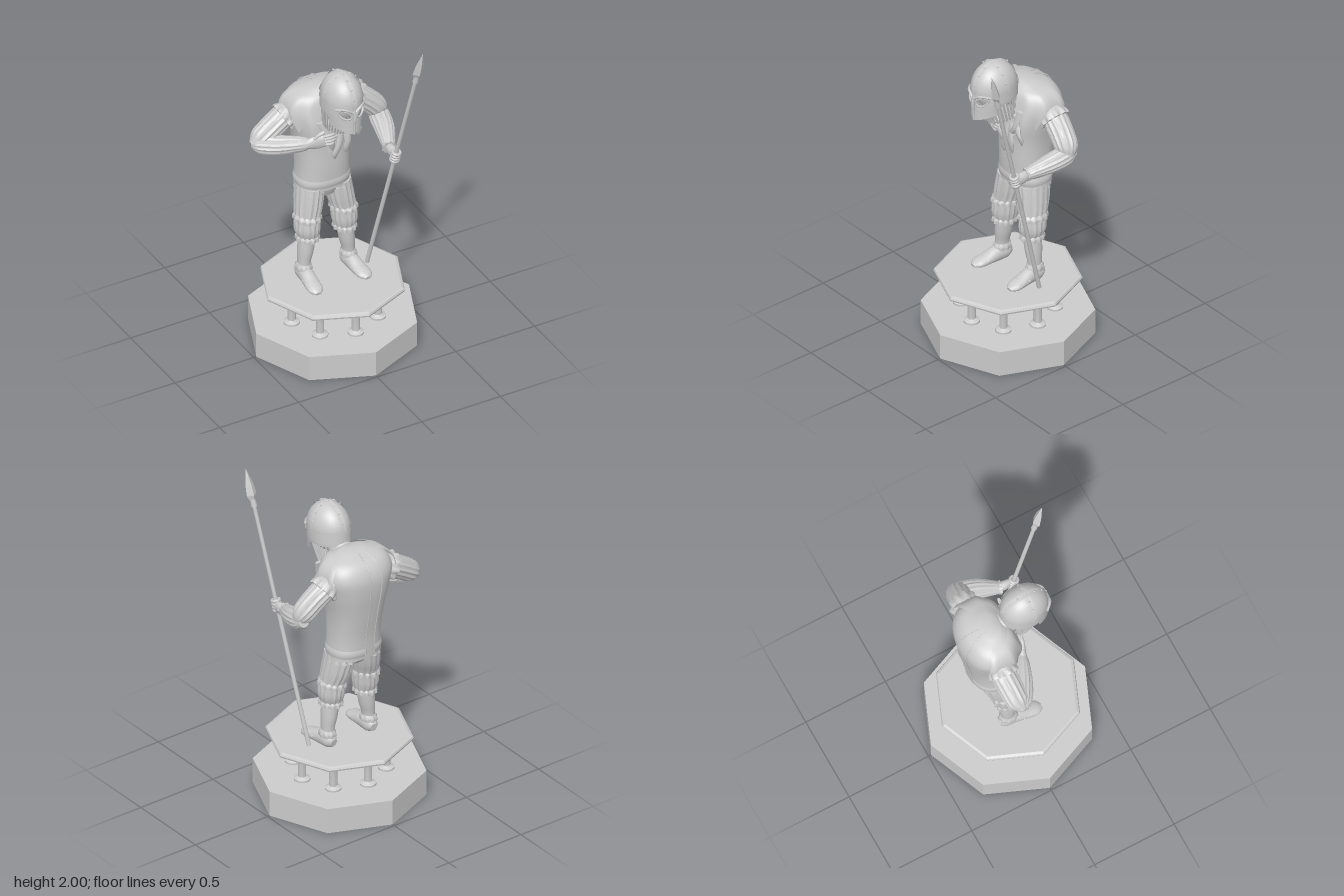
import * as THREE from 'three';
import { toCreasedNormals, mergeGeometries } from 'three/addons/utils/BufferGeometryUtils.js';

const V = (x, y, z) => new THREE.Vector3(x, y, z);
const material = new THREE.MeshStandardMaterial({ color: 0xcccccc });
const thin = new THREE.MeshStandardMaterial({ color: 0xcccccc, side: THREE.DoubleSide });

function add(parent, name, geometry, mat = material) {
  const mesh = new THREE.Mesh(geometry, mat);
  mesh.name = name;
  parent.add(mesh);
  return mesh;
}

// Grid surface from a function of (u, v); keep() may cut holes
function sheet(fn, nu, nv, keep = () => true) {
  const pos = [], index = [];
  for (let j = 0; j <= nv; j++) for (let i = 0; i <= nu; i++) pos.push(...fn(i / nu, j / nv).toArray());
  for (let j = 0; j < nv; j++) for (let i = 0; i < nu; i++) {
    if (!keep((i + 0.5) / nu, (j + 0.5) / nv)) continue;
    const a = j * (nu + 1) + i, c = a + nu + 1;
    index.push(a, a + 1, c, a + 1, c + 1, c);
  }
  const g = new THREE.BufferGeometry();
  g.setAttribute('position', new THREE.Float32BufferAttribute(pos, 3));
  g.setIndex(index);
  return toCreasedNormals(g, 0.75);
}

// Sections are [x, y, z, radiusA, radiusB, pleatDepth], smoothly interpolated
function sampler(rows) {
  const path = new THREE.CatmullRomCurve3(rows.map(r => V(r[0], r[1], r[2])), false, 'catmullrom', 0.5);
  const size = new THREE.CatmullRomCurve3(rows.map(r => V(r[3], r[4], r[5] || 0)), false, 'catmullrom', 0.5);
  return { path, size };
}

// Closed loft; level sections stay horizontal, others follow the path
function loft(rows, { level = false, ribs = 0, seg = 32, steps = 20, power = 1 } = {}) {
  const { path, size } = sampler(rows);
  const up = Math.sign(rows[rows.length - 1][1] - rows[0][1]) || 1;
  const n = steps + 2;
  return sheet((u, v) => {
    const k = Math.round(v * n), t = Math.min(Math.max((k - 1) / steps, 0), 1);
    const p = path.getPoint(t);
    if (k === 0 || k === n) return p;
    const s = size.getPoint(t), dir = level ? V(0, up, 0) : path.getTangent(t);
    const U = level ? V(1, 0, 0) : V(0, 1, 0).cross(dir).normalize();
    const W = dir.clone().cross(U), th = (u === 1 ? 0 : u) * Math.PI * 2;
    const bend = x => Math.sign(x) * Math.abs(x) ** power;
    const f = 1 + s.z * Math.cos(ribs * th);
    return p.addScaledVector(U, bend(Math.cos(th)) * s.x * f).addScaledVector(W, bend(Math.sin(th)) * s.y * f);
  }, seg, n);
}

const along = (pts, r, closed = false, n = 16) =>
  new THREE.TubeGeometry(new THREE.CatmullRomCurve3(pts, closed), n, r, 6, closed);

// Rod between two points
const rod = (a, b, r) => along([a, b], r, false, 1);

function pedestal(root) {
  const base = add(root, 'base', toCreasedNormals(new THREE.CylinderGeometry(0.485, 0.485, 0.155, 8), 0.3));
  base.position.y = 0.0775;
  const edge = [[0, 0.343], [0.395, 0.343], [0.412, 0.35], [0.415, 0.36], [0.41, 0.37], [0.395, 0.376], [0, 0.376]];
  add(root, 'platform', toCreasedNormals(new THREE.LatheGeometry(edge.map(p => new THREE.Vector2(...p)), 8), 0.3));
  const profile = [[0.046, 0.155], [0.046, 0.166], [0.032, 0.172], [0.023, 0.178], [0.023, 0.29], [0.027, 0.315], [0.036, 0.345]];
  for (let i = 0; i < 8; i++) {
    const c = add(root, 'column', toCreasedNormals(new THREE.LatheGeometry(profile.map(p => new THREE.Vector2(...p)), 16), 0.6));
    c.position.set(0.26 * Math.sin(i * Math.PI / 4), 0, 0.26 * Math.cos(i * Math.PI / 4));
  }
}

const torsoRows = [
  [0, 0.96, -0.125, 0.16, 0.122], [0, 1.1, -0.125, 0.153, 0.13], [0, 1.25, -0.135, 0.163, 0.143],
  [0, 1.4, -0.142, 0.195, 0.158], [0, 1.5, -0.15, 0.21, 0.148], [0, 1.575, -0.14, 0.17, 0.115], [0, 1.613, -0.115, 0.07, 0.05]];

// Point on the tunic surface, lifted by off
const torso = sampler(torsoRows);
function onTorso(th, t, off) {
  const p = torso.path.getPoint(t), s = torso.size.getPoint(t);
  const bend = x => Math.sign(x) * Math.abs(x) ** 0.85;
  return p.add(V(bend(Math.cos(th)) * (s.x + off), 0, -bend(Math.sin(th)) * (s.y + off)));
}

function body(root) {
  add(root, 'tunic', loft(torsoRows, { level: true, power: 0.85, seg: 48, steps: 30 }));
  add(root, 'tunicHem', sheet((u, v) => onTorso(u * Math.PI * 2, 0.02 + v * 0.06, 0.005 * Math.sin(v * Math.PI)), 48, 4), thin);
  // Raised band and stitched seams down the back
  add(root, 'backBand', sheet((u, v) => onTorso(Math.PI / 2 + 0.1 + (u - 0.5) * 0.3, 0.02 + v * 0.97, 0.006), 4, 30), thin);
  for (const a of [-0.05, 0.25]) {
    const pts = [...Array(14).keys()].map(i => onTorso(Math.PI / 2 + a, 0.02 + i * 0.074, 0.006));
    add(root, 'backSeam', along(pts, 0.004, false, 40));
  }
  // Ragged hide over chest and shoulders
  const saw = x => Math.abs(((x % 1) + 1) % 1 - 0.5) * 2;
  add(root, 'hide', sheet((u, v) => {
    const c = Math.abs(u - 0.5) * 2;
    const low = 0.36 + 0.26 * Math.min(1, c * 1.4) - 0.085 * saw(u * 13);
    const t = THREE.MathUtils.lerp(0.93, low, v);
    return onTorso(-Math.PI / 2 + (u - 0.5) * Math.PI * 1.25, t, 0.012 + 0.01 * v + 0.006 * Math.sin(u * 40) * v);
  }, 104, 14), thin);
  for (const [x, y, ex, ey] of [[0.03, 1.42, 0.0, 1.18], [0.06, 1.4, 0.07, 1.2], [0.1, 1.46, 0.15, 1.29], [0.13, 1.5, 0.07, 1.3], [-0.09, 1.45, -0.02, 1.24]])
    add(root, 'hideTail', loft([[x, y, 0.02, 0.024, 0.012], [(x + ex) / 2 + 0.01, (y + ey) / 2, 0.04, 0.02, 0.01],
      [ex, ey + 0.04, 0.032, 0.02, 0.01], [ex, ey, 0.025, 0.003, 0.003]], { level: true, seg: 8, steps: 10 }));
  add(root, 'neck', loft([[0, 1.5, -0.09, 0.08, 0.08], [0, 1.56, 0.0, 0.065, 0.065], [0, 1.62, 0.07, 0.065, 0.065]]));
  add(root, 'pelvis', loft([[0, 0.9, -0.11, 0.08, 0.07], [0, 0.95, -0.12, 0.14, 0.1], [0, 1.0, -0.125, 0.145, 0.11]], { level: true }));
}

function helmet(root) {
  const h = new THREE.Group();
  h.name = 'helmet';
  h.position.set(0, 1.655, 0.1);
  h.rotation.x = 0.08;
  root.add(h);
  const dome = add(h, 'dome', new THREE.SphereGeometry(1, 40, 16, 0, Math.PI * 2, 0, Math.PI / 2), thin);
  dome.scale.set(0.113, 0.145, 0.14);
  const head = add(h, 'head', new THREE.SphereGeometry(1, 24, 16));
  head.scale.set(0.094, 0.13, 0.118);
  head.position.y = -0.02;
  // Face plate with eye openings, shorter guard at the sides and back
  const lower = a => Math.abs(a) < 1.25 ? -0.165 + 0.03 * Math.abs(a) : -0.075;
  const shell = (a, y, off = 0) => V(Math.sin(a) * (0.113 + 0.09 * Math.min(0, y + 0.06) + off), y,
    Math.cos(a) * (0.14 + off - (Math.cos(a) > 0 ? 0.1 * y : 0)));
  const eye = (a, y) => Math.hypot((Math.abs(a) - 0.44) / 0.28, (y + 0.036 - 0.035 * (Math.abs(a) - 0.44)) / 0.022);
  const at = (u, v) => { const a = (0.5 - u) * Math.PI * 2; return [a, THREE.MathUtils.lerp(0, lower(a), v)]; };
  add(h, 'facePlate', sheet((u, v) => shell(...at(u, v)), 128, 40, (u, v) => eye(...at(u, v)) > 1), thin);
  add(h, 'browBand', sheet((u, v) => shell(u * Math.PI * 2, 0.014 - 0.026 * v, 0.005), 48, 2), thin);
  for (const s of [-1, 1]) {
    const rim = [...Array(16).keys()].map(i => {
      const q = i * Math.PI / 8, a = 0.44 + 0.3 * Math.cos(q);
      return shell(s * a, -0.036 + 0.035 * (a - 0.44) + 0.025 * Math.sin(q), 0.003);
    });
    add(h, 'eyeRim', along(rim, 0.006, true, 48));
    add(h, 'brow', along([shell(s * 0.05, -0.02, 0.008), shell(s * 0.4, 0.004, 0.01), shell(s * 0.85, -0.005, 0.008)], 0.008));
  }
  add(h, 'noseRidge', along([shell(0, 0, 0.004), shell(0, -0.06, 0.012), shell(0, -0.1, 0.006), shell(0, -0.162, 0.001)], 0.009));
  // Crossed bands and rivets on the dome
  for (const side of [false, true]) {
    add(h, side ? 'crossBand' : 'crestBand', sheet((u, v) => {
      const w = (v - 0.5) * 0.032, q = u * Math.PI, y = 0.15 * Math.sin(q);
      return side ? V(0.118 * Math.cos(q), y, w) : V(w, y, 0.145 * Math.cos(q));
    }, 32, 2), thin);
    for (let i = 1; i < 8; i++) {
      const q = i * Math.PI / 8, r = add(h, 'rivet', new THREE.SphereGeometry(0.006, 8, 6));
      r.position.set(side ? 0.118 * Math.cos(q) : 0, 0.15 * Math.sin(q), side ? 0 : 0.145 * Math.cos(q));
    }
  }
  // Hanging neck strips
  const strips = [];
  for (let i = 0; i < 32; i++) {
    const s = Math.sin(i * Math.PI / 16), c = Math.cos(i * Math.PI / 16);
    strips.push(rod(V(s * 0.1, -0.06, c * 0.125), V(s * 0.075, -0.225, c * 0.095 - 0.035), 0.0055));
  }
  add(h, 'neckStrips', mergeGeometries(strips));
}

function leg(root, s) {
  const part = (name, rows, o) => add(root, name, loft(rows.map(([x, ...r]) => [x * s, ...r]), { level: true, seg: 64, ...o }));
  part('breeches', [[0.115, 0.64, -0.075, 0.055, 0.06, 0.04], [0.118, 0.7, -0.078, 0.07, 0.078, 0.04], [0.112, 0.78, -0.085, 0.07, 0.08, 0.04],
    [0.098, 0.86, -0.1, 0.076, 0.095, 0.04], [0.082, 0.97, -0.115, 0.078, 0.105, 0.03]], { ribs: 16 });
  for (const [x, y, z, a, b] of [[0.115, 0.77, -0.083, 0.068, 0.078], [0.118, 0.64, -0.075, 0.058, 0.065]])
    part('ruffle', [[x, y - 0.01, z, a * 1.12, b * 1.12, 0.08], [x, y + 0.012, z, a * 1.1, b * 1.1, 0.05], [x, y + 0.03, z, a * 0.9, b * 0.9, 0]], { ribs: 12, steps: 6 });
  part('hem', [[0.083, 0.935, -0.115, 0.08, 0.105, 0.05], [0.083, 0.965, -0.115, 0.075, 0.1, 0]], { ribs: 12, steps: 3 });
  part('shin', [[0.142, 0.4, -0.075, 0.036, 0.043], [0.14, 0.48, -0.075, 0.036, 0.043], [0.13, 0.56, -0.075, 0.045, 0.052], [0.118, 0.66, -0.075, 0.048, 0.056]], { seg: 24 });
  part('ankleCuff', [[0.142, 0.435, -0.075, 0.045, 0.054, 0.06], [0.142, 0.455, -0.075, 0.046, 0.054, 0.05], [0.142, 0.475, -0.075, 0.038, 0.045, 0]], { ribs: 9, steps: 6 });
  // Shoe with flat sole
  const shoe = part('shoe', [[0.138, 0.405, -0.13, 0.022, 0.025], [0.141, 0.41, -0.1, 0.04, 0.045], [0.144, 0.41, -0.04, 0.042, 0.048],
    [0.15, 0.398, 0.03, 0.045, 0.034], [0.156, 0.39, 0.09, 0.043, 0.022], [0.158, 0.384, 0.122, 0.018, 0.01]], { level: false, seg: 24 });
  const p = shoe.geometry.attributes.position;
  for (let i = 0; i < p.count; i++) p.setY(i, Math.max(0.376, p.getY(i)));
  for (const z of [0.0, 0.045])
    add(root, 'shoeStrap', along([V(s * 0.108, 0.405, z), V(s * 0.15, 0.437 - z * 0.35, z + 0.01), V(s * 0.194, 0.405, z)], 0.005));
}

function arms(root) {
  const sleeve = (name, rows, o) => add(root, name, loft(rows, { ribs: 14, seg: 70, ...o }));
  // Right arm folded across the chest
  sleeve('rightUpperSleeve', [[-0.14, 1.47, -0.15, 0.07, 0.07, 0], [-0.23, 1.435, -0.155, 0.07, 0.066, 0.04], [-0.32, 1.38, -0.15, 0.068, 0.064, 0.05],
    [-0.385, 1.338, -0.145, 0.06, 0.058, 0.05], [-0.43, 1.315, -0.14, 0.025, 0.03, 0]]);
  sleeve('rightForearmSleeve', [[-0.425, 1.32, -0.155, 0.025, 0.03, 0], [-0.39, 1.32, -0.125, 0.053, 0.05, 0.05], [-0.3, 1.318, -0.07, 0.054, 0.052, 0.05],
    [-0.2, 1.32, -0.02, 0.042, 0.044, 0.04], [-0.16, 1.322, 0.0, 0.033, 0.035, 0.02]]);
  sleeve('rightShoulderRuffle', [[-0.19, 1.455, -0.15, 0.07, 0.07, 0], [-0.215, 1.44, -0.152, 0.082, 0.08, 0.05], [-0.235, 1.43, -0.153, 0.085, 0.082, 0.08]], { ribs: 10, steps: 6 });
  add(root, 'rightHand', loft([[-0.17, 1.322, 0.0, 0.026, 0.028], [-0.12, 1.33, 0.025, 0.018, 0.04], [-0.075, 1.338, 0.045, 0.014, 0.038]], { steps: 10 }));
  for (let i = 0; i < 4; i++)
    add(root, 'rightFinger', along([V(-0.085, 1.315 + i * 0.017, 0.042), V(-0.04, 1.315 + i * 0.02, 0.058), V(-0.005 - Math.abs(i - 2) * 0.01, 1.32 + i * 0.018, 0.055)], 0.0095));
  add(root, 'rightThumb', along([V(-0.14, 1.345, 0.02), V(-0.105, 1.38, 0.035), V(-0.075, 1.395, 0.04)], 0.011));
  // Left arm reaching forward to the spear
  sleeve('leftUpperSleeve', [[0.14, 1.48, -0.15, 0.07, 0.07, 0], [0.22, 1.44, -0.15, 0.07, 0.066, 0.04], [0.3, 1.375, -0.14, 0.067, 0.064, 0.05],
    [0.355, 1.315, -0.13, 0.06, 0.06, 0.05], [0.385, 1.27, -0.12, 0.03, 0.03, 0]]);
  sleeve('leftForearmSleeve', [[0.375, 1.29, -0.17, 0.028, 0.03, 0], [0.36, 1.275, -0.12, 0.055, 0.052, 0.05], [0.34, 1.25, -0.02, 0.055, 0.05, 0.05],
    [0.31, 1.222, 0.07, 0.042, 0.04, 0.04], [0.295, 1.21, 0.11, 0.034, 0.033, 0.02]]);
  sleeve('leftShoulderRuffle', [[0.19, 1.46, -0.15, 0.07, 0.07, 0], [0.213, 1.445, -0.15, 0.082, 0.08, 0.05], [0.233, 1.43, -0.15, 0.085, 0.082, 0.08]], { ribs: 10, steps: 6 });
  sleeve('leftCuff', [[0.3, 1.213, 0.095, 0.036, 0.035, 0], [0.295, 1.21, 0.115, 0.04, 0.038, 0.08]], { ribs: 9, steps: 4 });
  add(root, 'leftHand', loft([[0.298, 1.21, 0.1, 0.024, 0.026], [0.298, 1.203, 0.14, 0.026, 0.035], [0.3, 1.198, 0.178, 0.018, 0.034]], { steps: 10 }));
}

function spear(root) {
  const a = V(0.235, 0.376, -0.03), b = V(0.345, 1.985, 0.4), L = a.distanceTo(b);
  const g = new THREE.Group();
  g.name = 'spear';
  g.position.copy(a);
  g.quaternion.setFromUnitVectors(V(0, 1, 0), b.clone().sub(a).normalize());
  root.add(g);
  add(g, 'shaft', new THREE.CylinderGeometry(0.0115, 0.0125, L - 0.14, 10)).position.y = (L - 0.14) / 2;
  add(g, 'socket', new THREE.CylinderGeometry(0.014, 0.018, 0.05, 10)).position.y = L - 0.19;
  const head = [[0.012, L - 0.19], [0.033, L - 0.145], [0.026, L - 0.08], [0, L + 0.012]].map(p => new THREE.Vector2(...p));
  const blade = add(g, 'spearhead', toCreasedNormals(new THREE.LatheGeometry(head, 4), 0.3));
  blade.scale.z = 0.75;
  // Fingers gripping the shaft
  const y = 0.828 / ((b.y - a.y) / L);
  for (let i = 0; i < 4; i++) {
    const f = add(g, 'leftFinger', new THREE.TorusGeometry(0.021, 0.01, 8, 16));
    f.rotation.x = Math.PI / 2;
    f.position.y = y - 0.032 + i * 0.019;
  }
}

export function createModel() {
  const root = new THREE.Group();
  root.name = 'warriorFigure';
  pedestal(root);
  body(root);
  helmet(root);
  for (const s of [-1, 1]) leg(root, s);
  arms(root);
  spear(root);
  return root;
}
